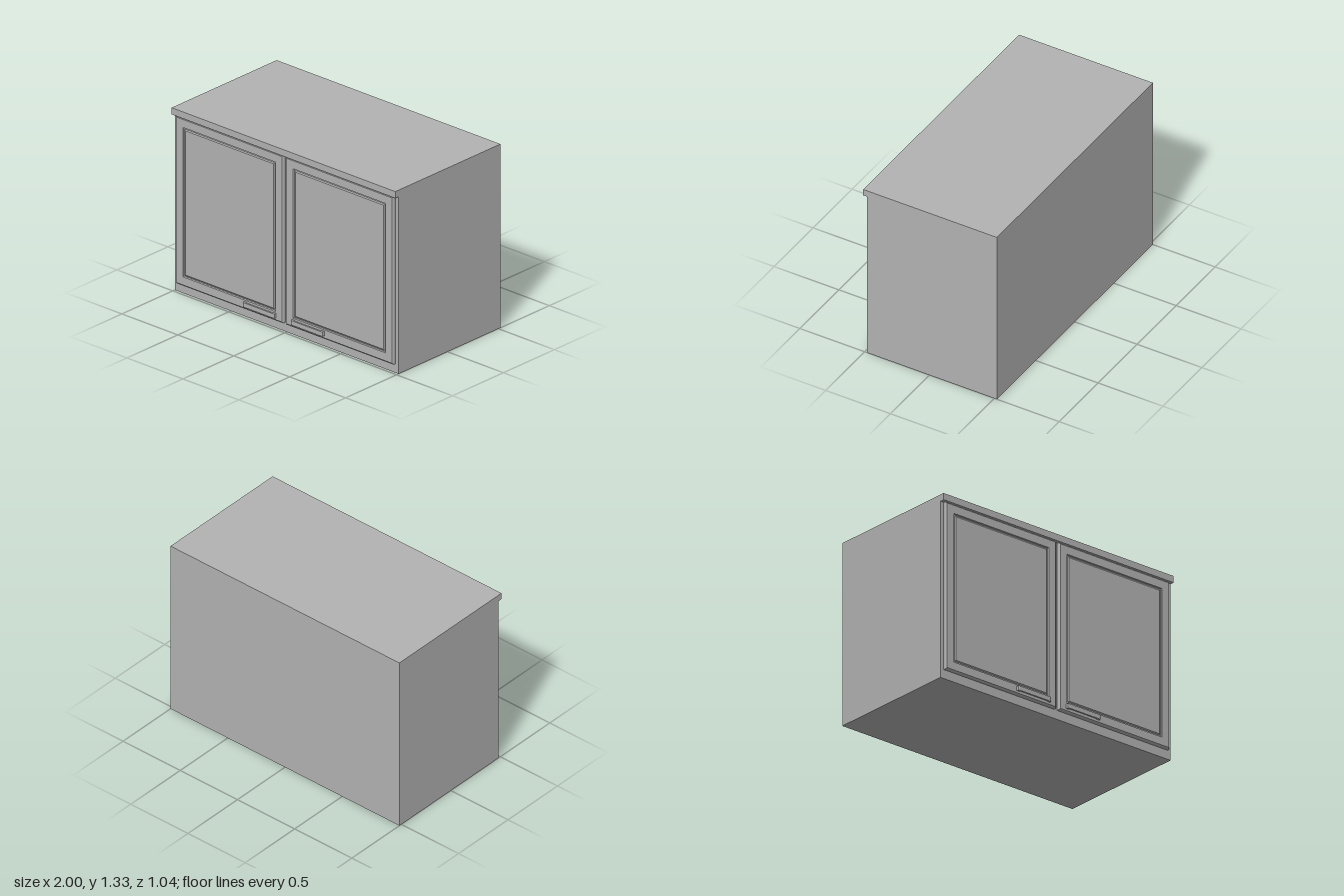
import * as THREE from 'three';

const cabinetGrey = new THREE.MeshStandardMaterial({ color: 0xb2b2b2 });
cabinetGrey.name = 'cabinet grey';

function addMesh(parent, geometry, name, x = 0, y = 0, z = 0) {
  const mesh = new THREE.Mesh(geometry, cabinetGrey);
  mesh.name = name;
  mesh.position.set(x, y, z);
  parent.add(mesh);
  return mesh;
}

// Moulded rectangular slab: each step is [inset from the outer edge, z], back to front.
function mouldedSlab(width, height, steps) {
  const corners = steps.map(([inset, z]) => {
    const w = width / 2 - inset, h = height / 2 - inset;
    return [[-w, -h, z], [w, -h, z], [w, h, z], [-w, h, z]];
  });
  const positions = [];
  const quad = (a, b, c, d) => positions.push(...a, ...b, ...c, ...a, ...c, ...d);
  for (let i = 0; i < corners.length - 1; i++) {
    for (let k = 0; k < 4; k++) {
      const n = (k + 1) % 4;
      quad(corners[i][k], corners[i][n], corners[i + 1][n], corners[i + 1][k]);
    }
  }
  quad(...corners[corners.length - 1]);
  const geometry = new THREE.BufferGeometry();
  geometry.setAttribute('position', new THREE.Float32BufferAttribute(positions, 3));
  geometry.computeVertexNormals();
  return geometry;
}

// Bow handle outline seen from above, extruded upwards.
function handleGeometry(length, depth, height) {
  const h = length / 2, c = 0.012, post = 0.025, bar = 0.011;
  const shape = new THREE.Shape([
    [-h, 0], [-h + post, 0], [-h + post, depth - bar], [h - post, depth - bar],
    [h - post, 0], [h, 0], [h, depth - c], [h - c * 0.3, depth - c * 0.3],
    [h - c, depth], [-h + c, depth], [-h + c * 0.3, depth - c * 0.3], [-h, depth - c],
  ].map(([x, y]) => new THREE.Vector2(x, y)));
  const geometry = new THREE.ExtrudeGeometry(shape, { depth: height, bevelEnabled: false });
  geometry.translate(0, 0, -height / 2);
  geometry.rotateX(Math.PI / 2);
  return geometry;
}

export function createModel() {
  const cabinet = new THREE.Group();
  cabinet.name = 'wallCabinet';

  // Carcass and overhanging top
  addMesh(cabinet, new THREE.BoxGeometry(2, 1.285, 1), 'carcass', 0, 0.6425, -0.02);
  addMesh(cabinet, new THREE.BoxGeometry(2, 0.048, 1.032), 'top', 0, 1.309, -0.004);

  // Door edge, rounded lip, groove and raised centre panel
  const doorSteps = [
    [0, 0], [0, 0.013], [0.003, 0.02], [0.009, 0.025],
    [0.067, 0.025], [0.071, 0.017], [0.078, 0.017], [0.086, 0.023],
  ];
  const doorGeometry = mouldedSlab(0.96, 1.218, doorSteps);
  const handle = handleGeometry(0.288, 0.019, 0.032);

  for (const [side, name] of [[1, 'left'], [-1, 'right']]) {
    const door = new THREE.Group();
    door.name = name + 'Door';
    addMesh(door, doorGeometry, name + 'DoorPanel', side * 0.492, 0.674, 0.48);
    addMesh(door, handle, name + 'DoorHandle', side * 0.215, 0.105, 0.504);
    cabinet.add(door);
  }
  return cabinet;
}
